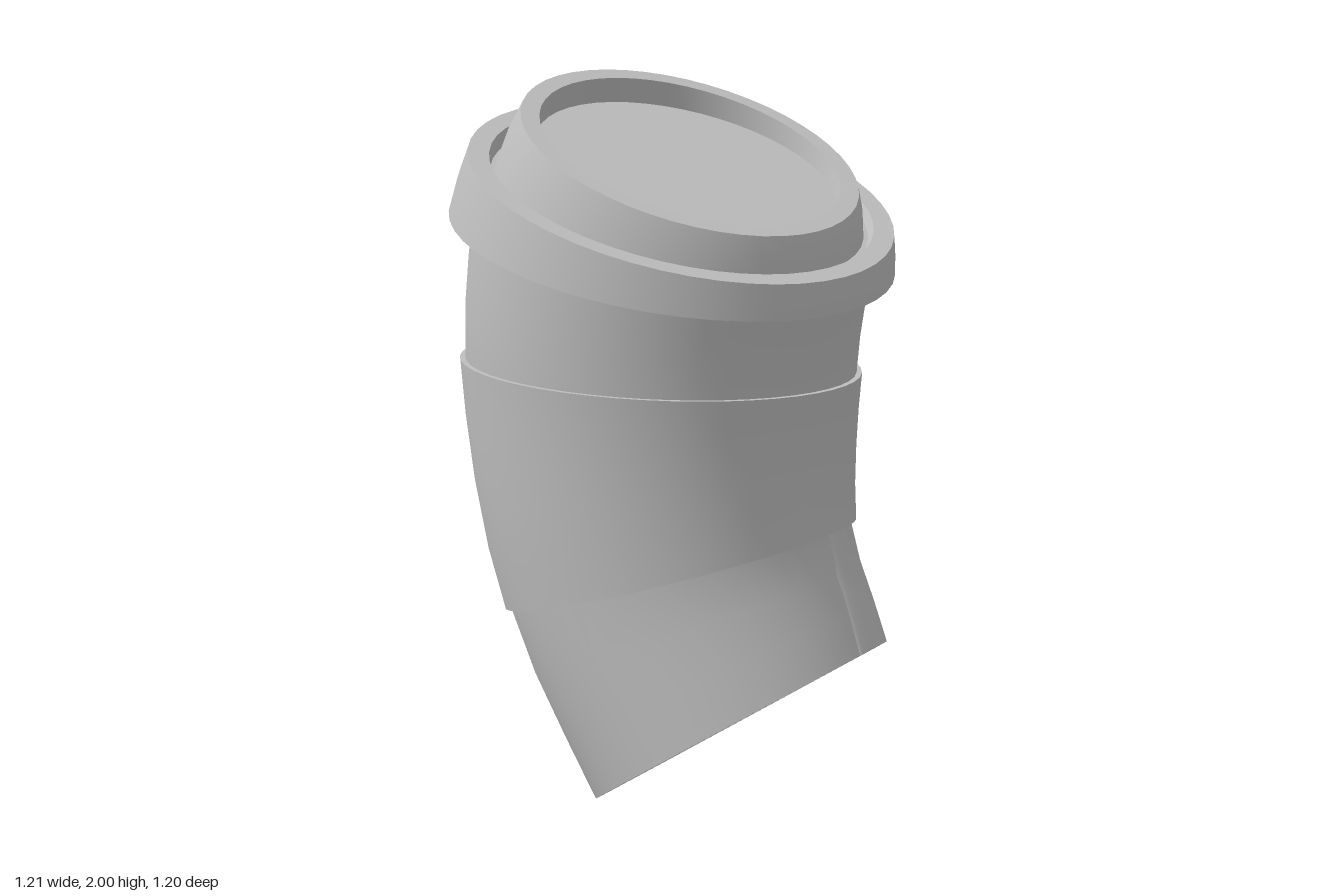
import * as THREE from 'three';
import { toCreasedNormals } from 'three/addons/utils/BufferGeometryUtils.js';

const V = (x, y, z) => new THREE.Vector3(x, y, z);

// Stations along the bent axis: base, sleeve bottom, sleeve top, rim bottom, rim top, lid top
const centres = new THREE.CatmullRomCurve3([
  V(0.04, 0.25, 0.22), V(0.01, 0.67, 0.02), V(0.005, 1.225, -0.048),
  V(0, 1.57, 0), V(-0.005, 1.71, 0.04), V(-0.01, 1.815, 0.075)]);
const axes = new THREE.CatmullRomCurve3([
  V(-0.11, 0.835, -0.54), V(-0.06, 0.957, -0.28), V(0.02, 1, 0.035),
  V(-0.05, 0.97, 0.235), V(-0.06, 0.94, 0.327), V(-0.066, 0.914, 0.4)]);

// Point at station u, radius r and angle a (0 = +x, quarter turn = front)
function bentPoint(u, r, a) {
  const c = centres.getPoint(u / 5);
  const n = axes.getPoint(u / 5).normalize();
  const z = V(0, 0, 1).addScaledVector(n, -n.z).normalize();
  const x = n.clone().cross(z);
  return c.addScaledVector(x, r * Math.cos(a)).addScaledVector(z, r * Math.sin(a));
}

// Skin a grid of points: rows run up, columns run round
function skin(rows, cols, pointAt) {
  const pos = [], idx = [];
  for (let i = 0; i < rows; i++)
    for (let j = 0; j < cols; j++) pos.push(...pointAt(i, j).toArray());
  for (let i = 0; i < rows - 1; i++)
    for (let j = 0; j < cols - 1; j++) {
      const a = i * cols + j, c = a + cols;
      idx.push(a, c, c + 1, a, c + 1, a + 1);
    }
  const g = new THREE.BufferGeometry();
  g.setAttribute('position', new THREE.Float32BufferAttribute(pos, 3));
  g.setIndex(idx);
  return toCreasedNormals(g, 0.5);
}

// Revolve a [station, radius] profile round the bent axis
const SIDES = 48;
const bentLathe = (profile) => skin(profile.length, SIDES + 1, (i, j) =>
  bentPoint(profile[i][0], profile[i][1], (j % SIDES) / SIDES * Math.PI * 2));

export function createModel() {
  const group = new THREE.Group();
  const grey = new THREE.MeshStandardMaterial({ color: 0xbfbfbf });
  grey.name = 'grey';
  const add = (name, geometry) => {
    const mesh = new THREE.Mesh(geometry, grey);
    mesh.name = name;
    group.add(mesh);
  };

  // Cup with recessed base
  add('cup', bentLathe([
    [0.055, 0.001], [0.055, 0.385], [0, 0.388], [0, 0.455], [0.33, 0.465], [0.67, 0.475],
    [1, 0.485], [1.33, 0.502], [1.67, 0.519], [2, 0.535], [2.33, 0.539], [2.67, 0.541],
    [3, 0.541], [3.3, 0.54]]));

  // Sleeve wrapped round the middle
  add('sleeve', bentLathe([
    [1, 0.484], [1, 0.5], [1.25, 0.514], [1.5, 0.527], [1.75, 0.539], [2, 0.55], [2, 0.534]]));

  // Lid: overhanging rim, groove, raised ring and sunken top
  add('lid', bentLathe([
    [3.25, 0.53], [3.25, 0.57], [3, 0.585], [3, 0.607], [3.5, 0.596], [4, 0.582], [4, 0.525],
    [3.75, 0.515], [3.75, 0.503], [4.4, 0.487], [5, 0.465], [5, 0.414], [4.5, 0.41], [4.5, 0.001]]));

  // Low paper seam with sloped sides, narrowing to the base
  const top = [0.205, 0.19, 0.12, 0.09], bottom = [0.13, 0.125, 0.08, 0.075], lift = [-0.002, 0.008, 0.008, -0.002];
  add('seam', skin(5, 4, (i, j) => {
    const u = i / 4, r = 0.455 + 0.03 * u;
    const x = THREE.MathUtils.lerp(bottom[j], top[j], u);
    return bentPoint(u, r + lift[j] * (0.3 + 0.7 * u), Math.acos(x / r));
  }));

  return group;
}
